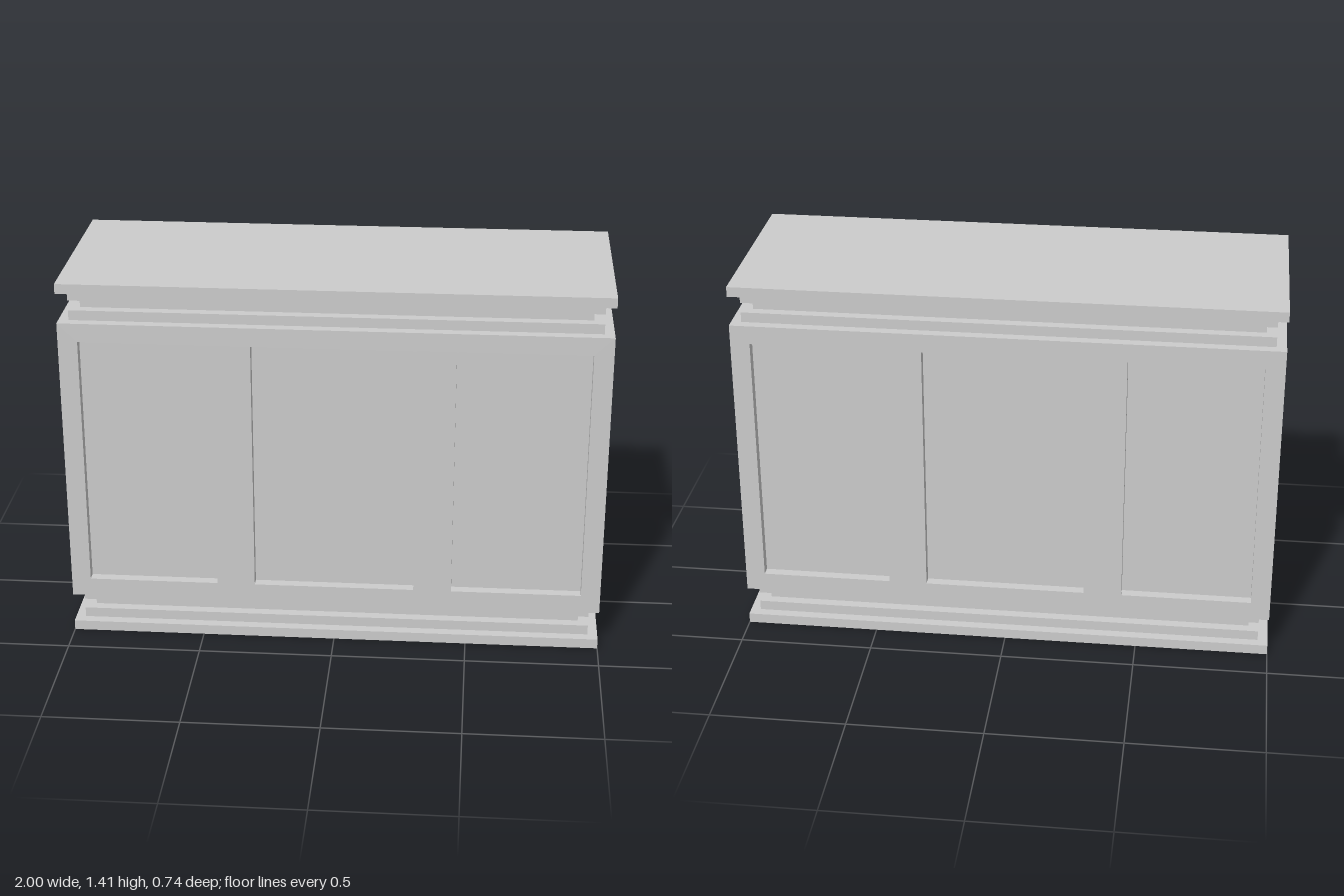
import * as THREE from 'three';

const HALF_W = 1, HALF_D = 0.371, STEP = 0.037;
const BODY_BOTTOM = 0.152, BODY_TOP = 1.26, HEIGHT = 1.41;

export function createModel() {
  const group = new THREE.Group();
  const material = new THREE.MeshStandardMaterial({ color: 0xcccccc, flatShading: true });

  const add = (name, geometry, y, z = 0) => {
    const mesh = new THREE.Mesh(geometry, material);
    mesh.name = name;
    mesh.position.set(0, y, z);
    group.add(mesh);
    return mesh;
  };
  // Centred slab between two heights, set in from the outer faces
  const slab = (name, y0, y1, inset, insetX = inset) => add(name,
    new THREE.BoxGeometry(2 * (HALF_W - insetX), y1 - y0, 2 * (HALF_D - inset)), (y0 + y1) / 2);

  // Stepped mouldings of the plinth, mirrored for the cornice
  const levels = [0, 0.038, 0.076, 0.114, BODY_BOTTOM];
  [0, 1, 2, 1].forEach((steps, i) => {
    const y0 = levels[i], y1 = levels[i + 1];
    const rise = HEIGHT - BODY_TOP, k = rise / BODY_BOTTOM;
    slab(i === 0 ? 'plinthBase' : `plinthStep${i}`, y0, y1, steps * STEP);
    slab(i === 0 ? 'topSlab' : `corniceStep${i}`, HEIGHT - y1 * k, HEIGHT - y0 * k, steps * STEP);
  });

  // Body core, whose faces form the recessed panels
  slab('bodyCore', BODY_BOTTOM, BODY_TOP, STEP, 0);

  // Raised frame with three panel openings
  const rectangle = (path, x0, y0, x1, y1) => {
    path.moveTo(x0, y0);
    path.lineTo(x1, y0);
    path.lineTo(x1, y1);
    path.lineTo(x0, y1);
    path.closePath();
    return path;
  };
  const outline = rectangle(new THREE.Shape(), -HALF_W, BODY_BOTTOM, HALF_W, BODY_TOP);
  for (const [x0, x1] of [[-0.928, -0.442], [-0.3, 0.3], [0.442, 0.928]]) {
    outline.holes.push(rectangle(new THREE.Path(), x0, 0.223, x1, 1.19));
  }
  const frame = new THREE.ExtrudeGeometry(outline, { depth: STEP, bevelEnabled: false });
  add('frontFrame', frame, 0, HALF_D - STEP);
  add('backFrame', frame, 0, STEP - HALF_D).rotation.y = Math.PI;

  return group;
}
